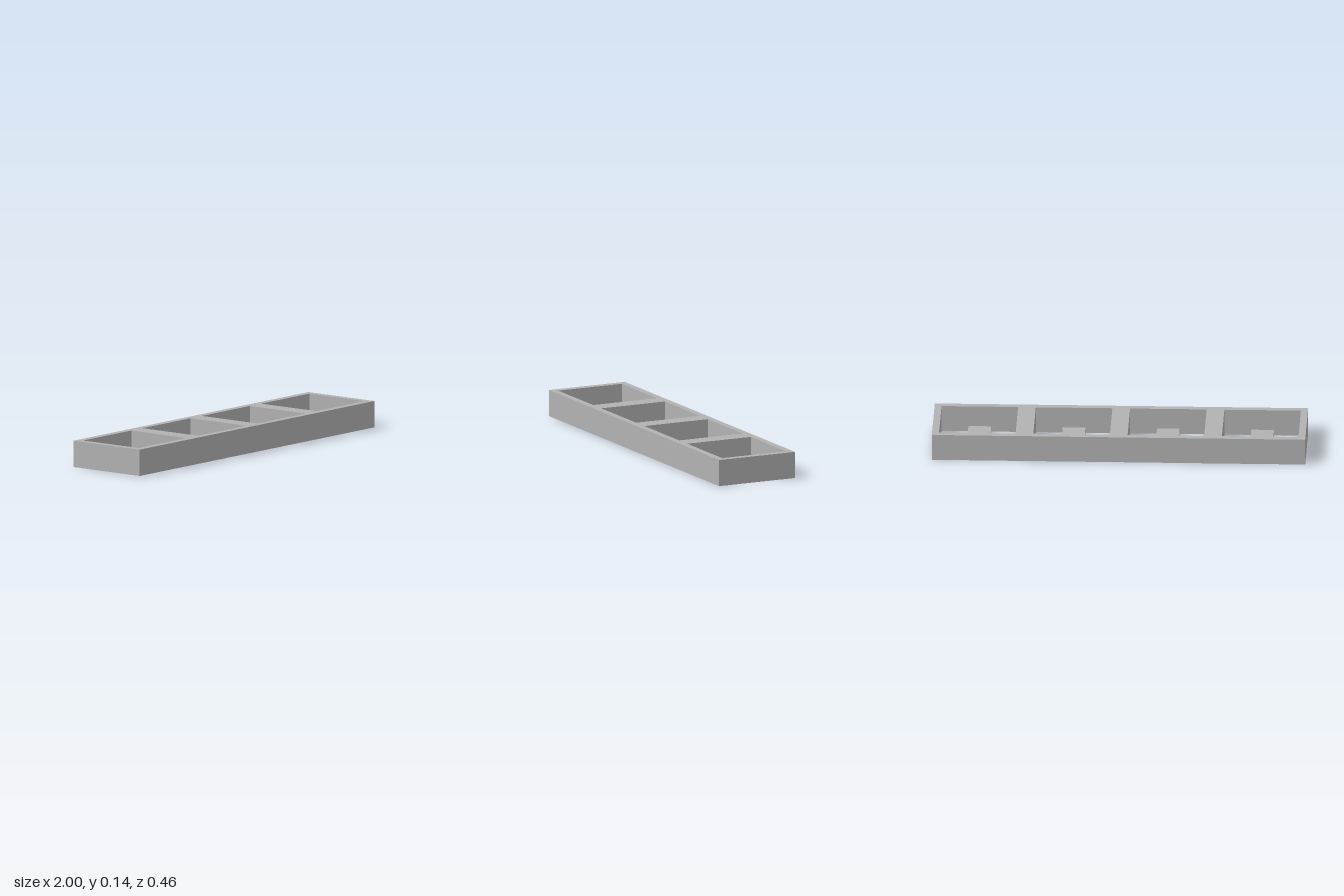
import * as THREE from 'three';

const LENGTH = 2, DEPTH = 0.456, HEIGHT = 0.143;
const CELL_W = 0.41, CELL_D = 0.382, PITCH = 0.505;
const TAB_W = 0.122, TAB_H = 0.03, TAB_INNER = 0.081;

// Corner points of a rectangle centred on (cx, 0)
function rectPoints(cx, w, d) {
  return [[-1, -1], [1, -1], [1, 1], [-1, 1]].map(
    ([sx, sy]) => new THREE.Vector2(cx + (sx * w) / 2, (sy * d) / 2));
}

export function createModel() {
  const model = new THREE.Group();
  model.name = 'fourCellTray';
  const grey = new THREE.MeshStandardMaterial({ color: 0xb2b2b2 });
  grey.name = 'grey';

  const cellCentres = [-1.5, -0.5, 0.5, 1.5].map((i) => i * PITCH);

  // Frame: solid bar with four rectangular through openings
  const outline = new THREE.Shape(rectPoints(0, LENGTH, DEPTH));
  for (const cx of cellCentres) {
    outline.holes.push(new THREE.Path(rectPoints(cx, CELL_W, CELL_D).reverse()));
  }
  const frameGeometry = new THREE.ExtrudeGeometry(outline, { depth: HEIGHT, bevelEnabled: false });
  frameGeometry.rotateX(-Math.PI / 2);
  const frame = new THREE.Mesh(frameGeometry, grey);
  frame.name = 'frame';
  model.add(frame);

  // Support tabs: a facing pair at the bottom of every cell
  const tabDepth = CELL_D / 2 - TAB_INNER;
  const tabGeometry = new THREE.BoxGeometry(TAB_W, TAB_H, tabDepth);
  for (const cx of cellCentres) {
    for (const side of [-1, 1]) {
      const tab = new THREE.Mesh(tabGeometry, grey);
      tab.name = side > 0 ? 'frontTab' : 'backTab';
      tab.position.set(cx, TAB_H / 2, side * (TAB_INNER + tabDepth / 2));
      model.add(tab);
    }
  }
  return model;
}
